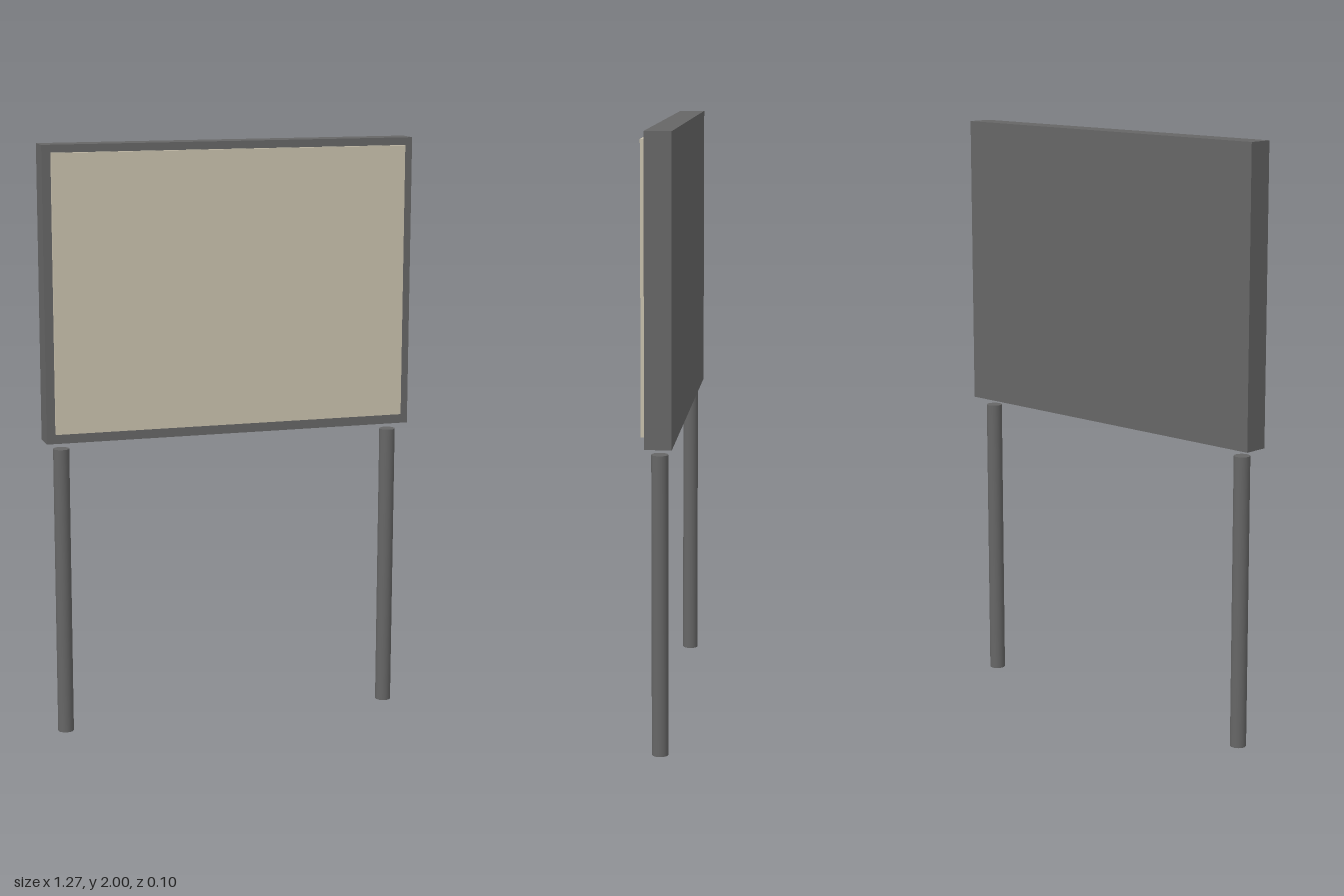
import * as THREE from 'three';

export function createModel() {
  const group = new THREE.Group();
  const darkGrey = new THREE.MeshStandardMaterial({ color: 0x666666 });
  darkGrey.name = 'darkGrey';
  const beige = new THREE.MeshStandardMaterial({ color: 0xc8c0ac });
  beige.name = 'beige';

  const add = (name, geometry, material, x, y, z) => {
    const mesh = new THREE.Mesh(geometry, material);
    mesh.name = name;
    mesh.position.set(x, y, z);
    group.add(mesh);
  };

  const boardZ = -0.009;

  // Board body and the raised face panel on its front
  add('board', new THREE.BoxGeometry(1.274, 0.984, 0.086), darkGrey, 0, 1.508, boardZ);
  add('facePanel', new THREE.BoxGeometry(1.215, 0.925, 0.014), beige, 0, 1.512, 0.041);

  // Two round posts, ending just below the board
  const postHeight = 0.99;
  const post = new THREE.CylinderGeometry(0.027, 0.027, postHeight, 24);
  for (const [name, side] of [['leftPost', 1], ['rightPost', -1]]) {
    add(name, post, darkGrey, side * 0.58, postHeight / 2, boardZ);
  }

  return group;
}
